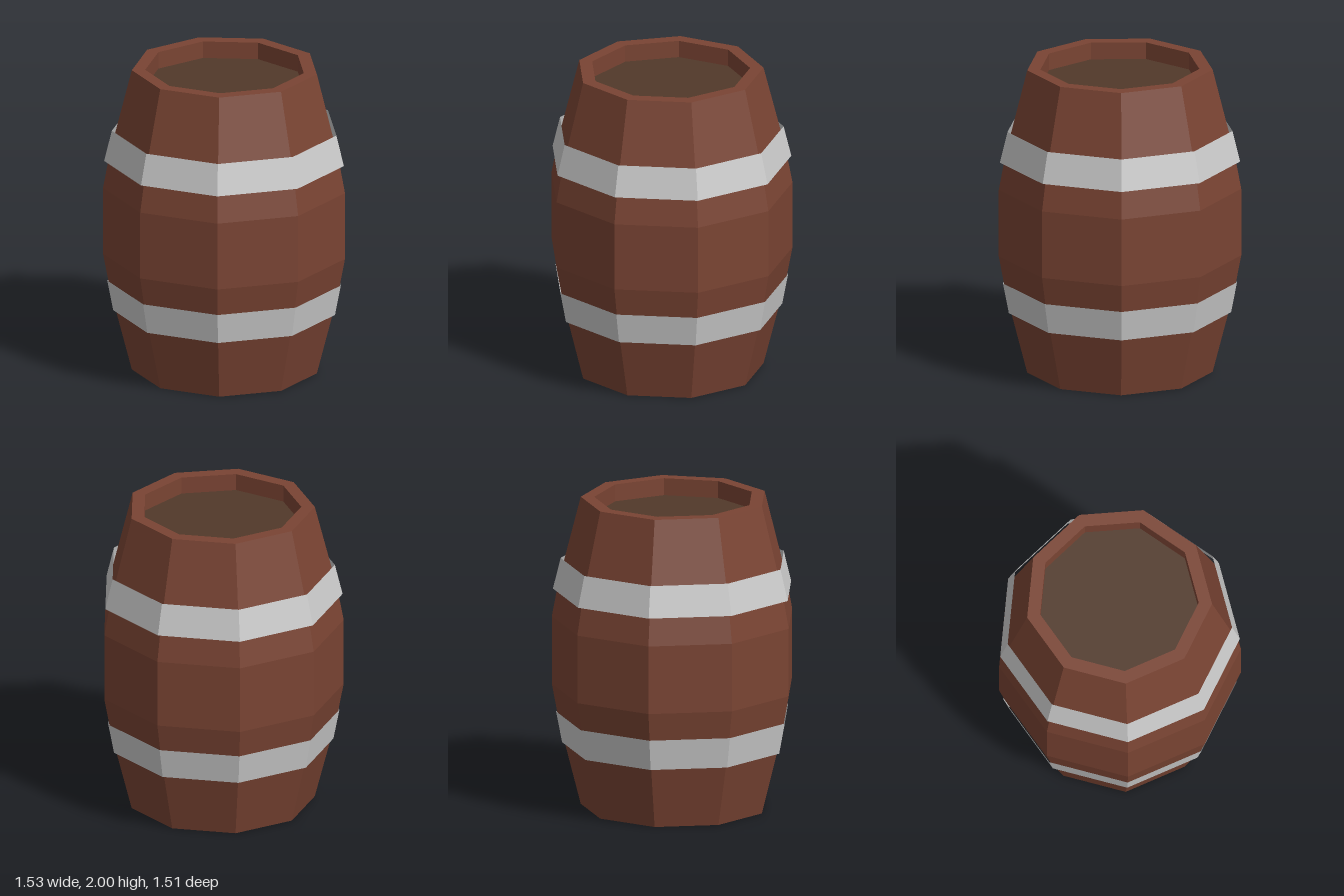
import * as THREE from 'three';

const SIDES = 9;
const wood = new THREE.MeshStandardMaterial({ color: 0x7a4433, flatShading: true });
const lidWood = new THREE.MeshStandardMaterial({ color: 0x52392a, flatShading: true });
const metal = new THREE.MeshStandardMaterial({ color: 0xcccccc, flatShading: true, side: THREE.DoubleSide });

// Nine-sided turned part from [radius, height] pairs, with one corner at the back
function turned(name, profile, material) {
  const points = profile.map(([r, y]) => new THREE.Vector2(r, y));
  const mesh = new THREE.Mesh(new THREE.LatheGeometry(points, SIDES, Math.PI), material);
  mesh.name = name;
  mesh.position.z = 0.022; // an odd number of sides sits off centre
  return mesh;
}

export function createModel() {
  const group = new THREE.Group();
  group.name = 'barrel';

  // Staves: bulging wall with flat rims and a shallow recess at both ends
  const lower = [[0.51, 0.11], [0.51, 0], [0.595, 0], [0.735, 0.55], [0.778, 0.78]];
  const upper = lower.map(([r, y]) => [r, 2 - y]).reverse();
  group.add(turned('staves', [...lower, ...upper], wood));

  // Recessed end boards
  group.add(turned('topLid', [[0.51, 1.89], [0, 1.89]], lidWood));
  group.add(turned('bottomLid', [[0, 0.11], [0.51, 0.11]], lidWood));

  // Thin open metal hoops
  group.add(turned('upperHoop', [[0.771, 1.4], [0.722, 1.6]], metal));
  group.add(turned('lowerHoop', [[0.713, 0.4], [0.751, 0.6]], metal));

  return group;
}
